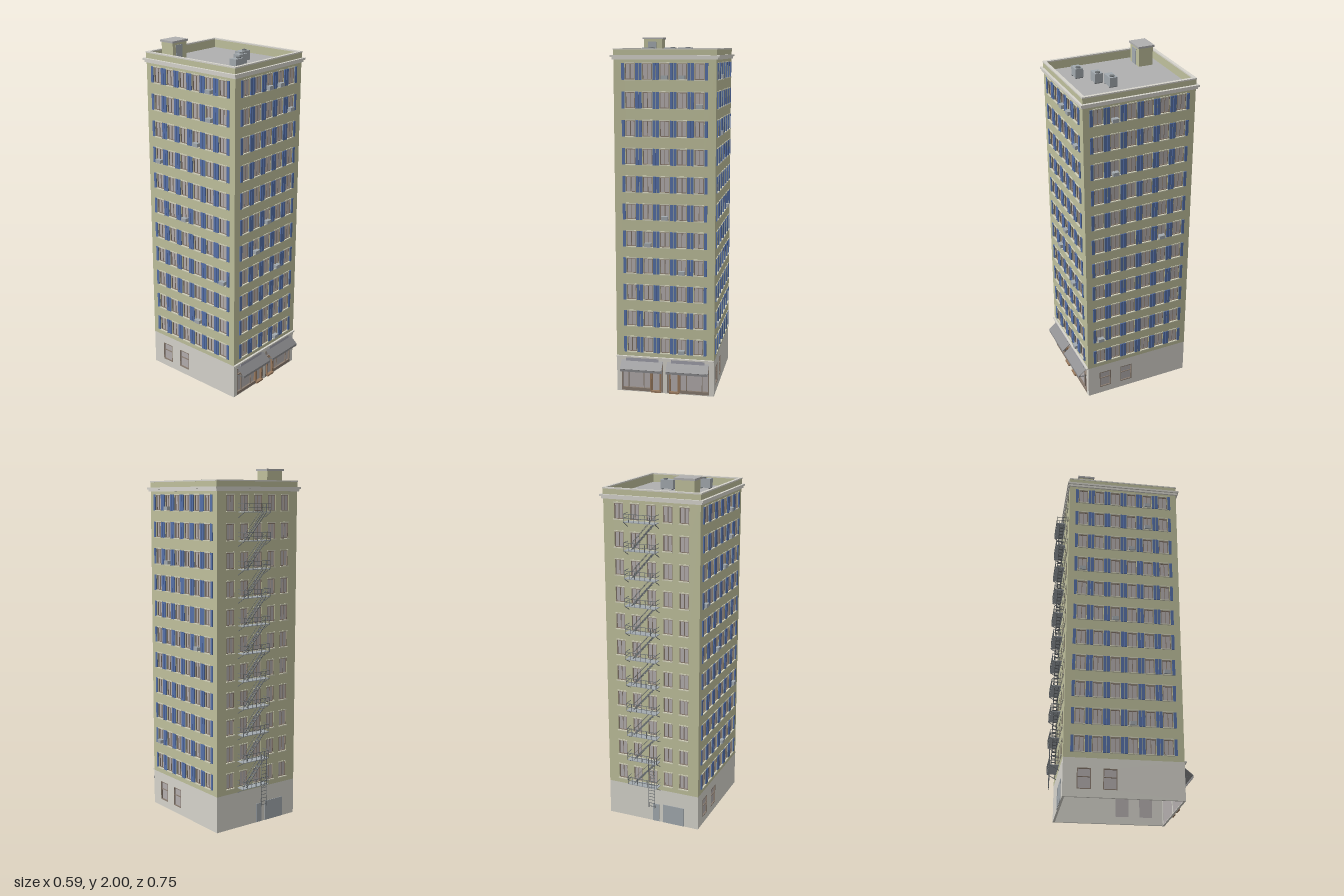
import * as THREE from 'three';
import { mergeGeometries } from 'three/addons/utils/BufferGeometryUtils.js';

const C = {
  wall: 0xbfc09c, stone: 0xd6d4cc, trim: 0xd0cfb8, glass: 0xb4aeae, frame: 0x8a7c70, shutter: 0x5570a8,
  metal: 0xa2a9ae, iron: 0x6c7174, roof: 0xb0b0b0, awning: 0x8a8a8c, door: 0x9a7a5e, sign: 0xa2a2ac,
};
const W = 0.28, D = 0.32, T = 0.012;           // half width, half depth, wall thickness
const BASE = 0.207, WALL_TOP = 1.89, ROOF = 1.885;
const FLOORS = 11, STEP = 0.1532, FIRST = 0.283, BAY = 0.095;
const WIN_W = 0.053, WIN_H = 0.086;

const box = (w, h, d, x, y, z) => new THREE.BoxGeometry(w, h, d).translate(x, y, z);

// round or square bar between two points
function bar(a, b, t) {
  const p = new THREE.Vector3(...a), q = new THREE.Vector3(...b), dir = q.clone().sub(p);
  const g = new THREE.BoxGeometry(t, dir.length(), t);
  g.applyQuaternion(new THREE.Quaternion().setFromUnitVectors(new THREE.Vector3(0, 1, 0), dir.normalize()));
  const m = p.add(q).multiplyScalar(0.5);
  return g.translate(m.x, m.y, m.z);
}

function addPart(group, name, color, geoms) {
  if (!geoms.length) return;
  const mesh = new THREE.Mesh(mergeGeometries(geoms), new THREE.MeshStandardMaterial({ color }));
  mesh.name = name;
  group.add(mesh);
}

// wall panel with rectangular openings [x, y, w, h] (centres), outer face at z = 0
function panel(half, y0, y1, openings) {
  const rect = (S, x0, b, x1, t) => new S([[x0, b], [x1, b], [x1, t], [x0, t]].map(p => new THREE.Vector2(...p)));
  const shape = rect(THREE.Shape, -half, y0, half, y1);
  for (const [x, y, w, h] of openings) shape.holes.push(rect(THREE.Path, x - w / 2, y - h / 2, x + w / 2, y + h / 2));
  return new THREE.ExtrudeGeometry(shape, { depth: T, bevelEnabled: false }).translate(0, 0, -T);
}

// four bars around an opening
const surround = (x, y, w, h, t, d, z) => [
  ...[-1, 1].map(s => box(t, h, d, x + s * (w - t) / 2, y, z)),
  ...[-1, 1].map(s => box(w, t, d, x, y + s * (h - t) / 2, z)),
];

// one side of the building; acs lists [floor, bay] of window air conditioners
function facade(name, half, bays, { shutters = true, acs = [], openings = [] }) {
  const g = new THREE.Group();
  g.name = name;
  const holes = [], glass = [], frames = [], blinds = [], sills = [], units = [];
  for (let f = 0; f < FLOORS; f++) for (let b = 0; b < bays; b++) {
    const x = (b - (bays - 1) / 2) * BAY, y = FIRST + f * STEP;
    holes.push([x, y, WIN_W, WIN_H]);
    glass.push(box(WIN_W, WIN_H, 0.002, x, y, -0.009));
    frames.push(...surround(x, y, WIN_W, WIN_H, 0.004, 0.006, -0.005), box(0.003, WIN_H, 0.004, x, y, -0.006));
    sills.push(box(WIN_W + 0.006, 0.005, 0.012, x, y - WIN_H / 2 - 0.002, 0.002));
    sills.push(box(WIN_W + 0.004, 0.006, 0.006, x, y + WIN_H / 2 + 0.003, 0.001));
    if (shutters) for (const s of [-1, 1]) blinds.push(box(0.016, WIN_H + 0.004, 0.005, x + s * 0.038, y, 0.0025));
    if (acs.some(([af, ab]) => af === f && ab === b)) units.push(box(0.036, 0.021, 0.026, x, y - WIN_H / 2 + 0.012, 0.004));
  }
  addPart(g, 'upperWall', C.wall, [panel(half, BASE, WALL_TOP, holes)]);
  addPart(g, 'baseWall', C.stone, [panel(half, 0, BASE, openings)]);
  addPart(g, 'windowGlass', C.glass, glass);
  addPart(g, 'windowFrames', C.frame, frames);
  addPart(g, 'shutters', C.shutter, blinds);
  addPart(g, 'windowSills', C.trim, sills);
  addPart(g, 'windowAirConditioners', C.metal, units);
  return g;
}

// ground floor windows of a side wall
function baseWindows(side, spots) {
  addPart(side, 'baseWindowGlass', C.glass, spots.map(([x, y, w, h]) => box(w, h, 0.002, x, y, -0.009)));
  addPart(side, 'baseWindowFrames', C.frame, spots.flatMap(([x, y, w, h]) =>
    [...surround(x, y, w, h, 0.005, 0.008, -0.004), box(w, 0.004, 0.005, x, y + 0.01, -0.005)]));
}

// shop front; s = -1 or 1 is the side it lies on, with its door towards the middle
function shop(s) {
  const g = new THREE.Group();
  g.name = s > 0 ? 'leftShop' : 'rightShop';
  const cx = s * 0.132, winX = s * 0.168, doorX = s * 0.052;
  addPart(g, 'shopGlass', C.glass, [box(0.24, 0.17, 0.002, cx, 0.09, -0.01)]);
  addPart(g, 'shopFrame', C.frame, [
    ...surround(cx, 0.09, 0.24, 0.172, 0.006, 0.01, -0.005),
    box(0.24, 0.008, 0.01, cx, 0.135, -0.005),
    box(0.168, 0.018, 0.012, winX, 0.014, -0.004),
    ...[-0.045, 0.045].map(o => box(0.004, 0.12, 0.008, winX + o, 0.075, -0.005)),
  ]);
  addPart(g, 'shopDoor', C.door, [
    ...surround(doorX, 0.068, 0.056, 0.126, 0.007, 0.012, -0.003),
    box(0.056, 0.01, 0.016, doorX, 0.008, 0.003),
    box(0.006, 0.126, 0.012, s * 0.084, 0.068, -0.003),
  ]);
  // sloping canopy with valance and arms
  const canopy = new THREE.BoxGeometry(0.24, 0.003, 0.066).rotateX(0.69).translate(cx, 0.168, 0.0255);
  addPart(g, 'awning', C.awning, [canopy, box(0.24, 0.014, 0.002, cx, 0.141, 0.05)]);
  addPart(g, 'awningArms', C.iron, [-0.118, 0.118].map(o => bar([cx + o, 0.135, 0], [cx + o, 0.146, 0.049], 0.003)));
  addPart(g, 'signBoard', C.sign, [box(0.19, 0.026, 0.008, cx, 0.193, 0.004)]);
  return g;
}

function fireEscape() {
  const g = new THREE.Group();
  g.name = 'fireEscape';
  const x0 = -0.045, x1 = 0.137, zi = -D, zo = -0.372, plates = [], rails = [], stairs = [];
  for (let f = 0; f < FLOORS; f++) {
    const y = 0.235 + f * STEP;
    plates.push(box(x1 - x0, 0.004, zi - zo, (x0 + x1) / 2, y, (zi + zo) / 2));
    for (const h of [0.022, 0.044]) {
      rails.push(bar([x0, y + h, zo], [x1, y + h, zo], 0.0025));
      for (const x of [x0, x1]) rails.push(bar([x, y + h, zi], [x, y + h, zo], 0.0025));
    }
    for (let i = 0; i <= 6; i++) {
      const x = x0 + (x1 - x0) * i / 6;
      rails.push(bar([x, y, zo], [x, y + 0.044, zo], 0.0025));
    }
    for (const x of [x0, x1]) rails.push(bar([x, y - 0.03, zi], [x, y, zo], 0.003));
    if (f === FLOORS - 1) continue;
    // flight up to the next platform
    const lo = [0.105, y], hi = [-0.03, y + STEP];
    for (const z of [-0.333, -0.355]) {
      stairs.push(bar([...lo, z], [...hi, z], 0.004));
      rails.push(bar([lo[0], lo[1] + 0.035, z], [hi[0], hi[1] + 0.035, z], 0.002));
    }
    for (let i = 1; i < 10; i++) {
      const t = i / 10;
      stairs.push(box(0.014, 0.002, 0.022, lo[0] + (hi[0] - lo[0]) * t, y + STEP * t, -0.344));
    }
  }
  // drop ladder
  const ladder = [-0.032, 0.006].map(x => bar([x, 0.11, -0.37], [x, 0.42, -0.37], 0.003));
  for (let y = 0.12; y < 0.42; y += 0.02) ladder.push(bar([-0.032, y, -0.37], [0.006, y, -0.37], 0.0025));
  addPart(g, 'platforms', C.metal, plates);
  addPart(g, 'railings', C.iron, rails);
  addPart(g, 'stairs', C.iron, stairs);
  addPart(g, 'dropLadder', C.iron, ladder);
  return g;
}

// rectangular ring around the roof
function ring(hw, hd, iw, id, y0, y1) {
  const y = (y0 + y1) / 2, h = y1 - y0;
  return [-1, 1].flatMap(s => [
    box(hw * 2, h, hd - id, 0, y, s * (hd + id) / 2),
    box(hw - iw, h, id * 2, s * (hw + iw) / 2, y, 0),
  ]);
}

function roofTop() {
  const g = new THREE.Group();
  g.name = 'roof';
  addPart(g, 'roofDeck', C.roof, [box(0.55, 0.006, 0.63, 0, ROOF - 0.003, 0)]);
  addPart(g, 'cornice', C.stone, [...ring(0.297, 0.334, 0.27, 0.307, 1.89, 1.901), ...ring(0.289, 0.328, 0.27, 0.307, 1.878, 1.89)]);
  addPart(g, 'parapet', C.wall, ring(0.282, 0.321, 0.268, 0.306, ROOF, 1.93));
  addPart(g, 'parapetCap', C.stone, ring(0.284, 0.323, 0.267, 0.305, 1.93, 1.937));
  // stair house
  addPart(g, 'stairHouse', C.wall, [box(0.108, 0.105, 0.084, -0.166, ROOF + 0.052, -0.218)]);
  addPart(g, 'stairHouseCap', C.roof, [box(0.122, 0.011, 0.097, -0.166, 1.9945, -0.218)]);
  addPart(g, 'stairHouseDoor', C.metal, [box(0.05, 0.09, 0.004, -0.172, ROOF + 0.046, -0.175)]);
  // cooling units with fans
  const units = [[0.07, 0.073, 0.077, 0.085], [-0.006, 0.121, 0.063, 0.007], [-0.114, 0.188, 0.063, -0.101]];
  addPart(g, 'coolingUnits', C.metal, units.map(([x, z, w]) => box(w, 0.05, 0.044, x, ROOF + 0.03, z)));
  addPart(g, 'coolingUnitFeet', C.iron, units.flatMap(([x, z, w]) => [-1, 1].map(s => box(0.006, 0.006, 0.044, x + s * w * 0.4, ROOF + 0.003, z))));
  addPart(g, 'coolingFans', C.iron, units.map(([, z, , fx]) => new THREE.CylinderGeometry(0.013, 0.013, 0.006, 16).translate(fx, ROOF + 0.057, z)));
  return g;
}

export function createModel() {
  const model = new THREE.Group();
  model.name = 'apartmentBuilding';

  const front = facade('frontSide', W, 5, {
    acs: [[10, 2], [10, 3], [9, 4], [5, 2], [4, 1], [3, 3], [0, 3]],
    openings: [-1, 1].map(s => [s * 0.132, 0.09, 0.24, 0.172]),
  });
  front.position.z = D;
  front.add(shop(-1), shop(1));
  addPart(front, 'baseLedge', C.stone, [box(W * 2, 0.008, 0.014, 0, BASE + 0.002, 0.005)]);

  // the two long sides repeat each other turned half round
  const spots = [[-0.21, 0.098, 0.074, 0.112], [-0.073, 0.098, 0.074, 0.112]];
  const left = facade('leftSide', D - T, 6, { acs: [[10, 1], [8, 1], [5, 4], [1, 0]], openings: spots });
  left.position.x = W;
  left.rotation.y = Math.PI / 2;
  const right = facade('rightSide', D - T, 6, {
    acs: [[10, 4], [9, 4], [8, 3], [7, 0], [5, 2], [3, 5], [1, 3]], openings: spots,
  });
  right.position.x = -W;
  right.rotation.y = -Math.PI / 2;
  for (const side of [left, right]) baseWindows(side, spots);

  const back = facade('backSide', W, 5, { shutters: false });
  back.position.z = -D;
  back.rotation.y = Math.PI;
  addPart(back, 'serviceDoors', C.metal, [box(0.04, 0.11, 0.004, 0.018, 0.056, 0.001), box(0.13, 0.115, 0.004, 0.128, 0.0585, 0.001)]);

  model.add(front, left, right, back, fireEscape(), roofTop());
  return model;
}
